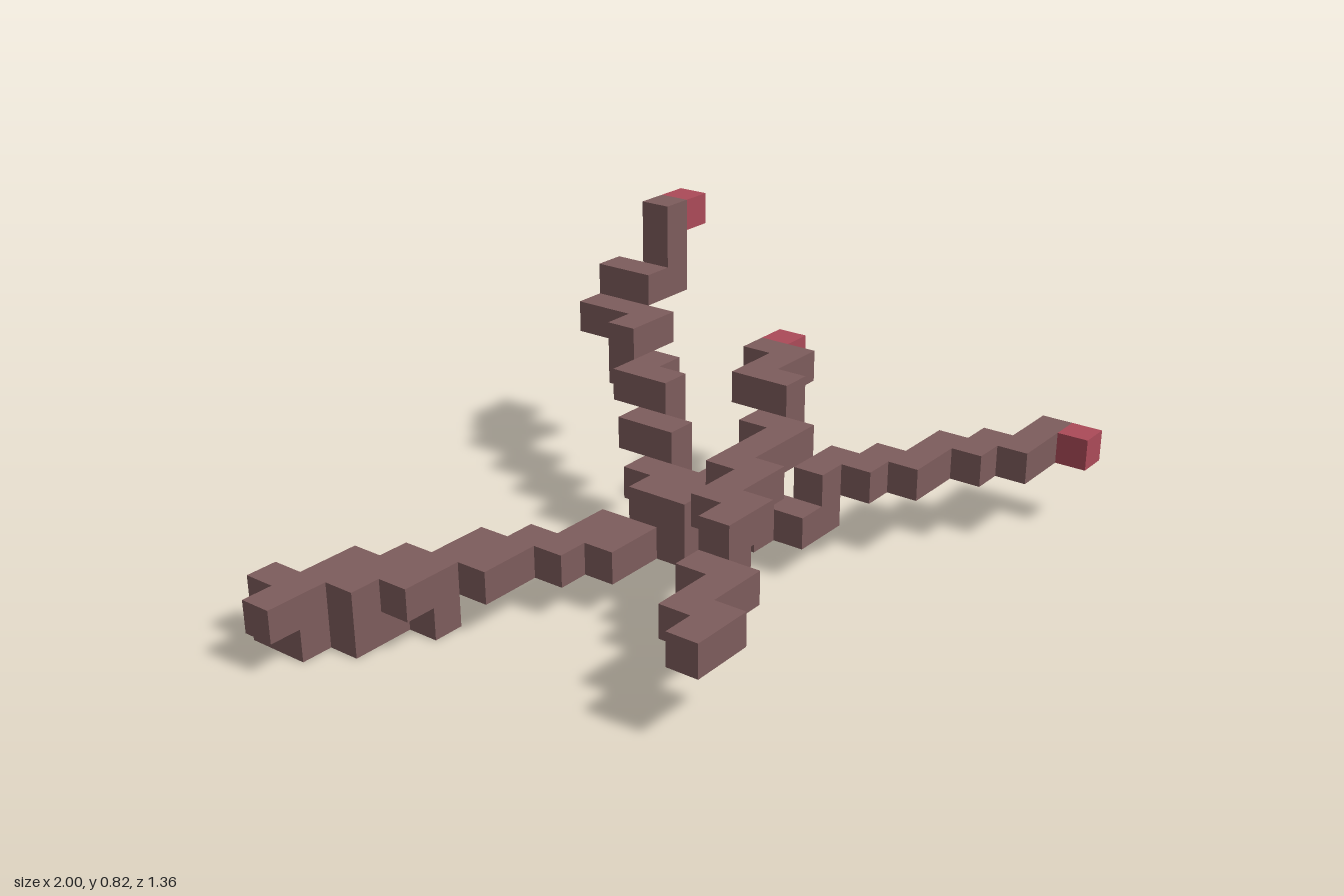
import * as THREE from 'three';
import { mergeGeometries } from 'three/addons/utils/BufferGeometryUtils.js';

// Block grid: 22 wide (x), 9 high (y), 15 deep (z)
const NX = 22, NZ = 15, S = 2 / NX;

// One row of blocks along x, from column i0 to i1 at level j and depth row k
function row([j, k, i0, i1 = i0]) {
  const g = new THREE.BoxGeometry((i1 - i0 + 1) * S, S, S);
  g.translate(((i0 + i1 + 1) / 2 - NX / 2) * S, (j + 0.5) * S, (k + 0.5 - NZ / 2) * S);
  return g;
}

// Each part is a list of rows: [level, depth row, first column, last column]
const wood = {
  trunk: [
    [1, 0, 1], [1, 1, 0, 3], [1, 2, 2, 4], [1, 3, 3, 6], [1, 4, 5, 7], [1, 5, 7, 9],
    [1, 6, 8, 11], [1, 7, 10, 12], [1, 8, 12, 13], [1, 9, 13, 14],
  ],
  trunkFoot: [[0, 0, 1], [0, 1, 1, 2], [0, 2, 2, 3], [0, 3, 4]],
  frontLeftBranch: [
    [2, 9, 14, 15], [2, 10, 15, 16], [2, 11, 16, 18], [2, 12, 18, 19], [2, 13, 19, 21],
  ],
  centreLink: [[2, 7, 10, 12], [2, 8, 12]],
  frontRightBranch: [
    [2, 12, 4, 5], [2, 11, 5, 7], [2, 10, 7, 8], [3, 10, 8, 9], [3, 9, 9, 11], [3, 8, 11, 14],
  ],
  middleLeftBranch: [[3, 7, 14, 15], [4, 7, 15], [4, 6, 15, 17], [4, 5, 17]],
  backLeftBranch: [
    [2, 6, 10, 11], [2, 5, 11, 12], [3, 5, 12], [3, 4, 12, 13], [4, 4, 13], [4, 3, 13, 14],
    [4, 2, 14], [5, 2, 14, 15], [5, 1, 15], [5, 0, 15, 16], [6, 0, 16], [6, 1, 16, 17],
    [7, 1, 17], [8, 1, 17],
  ],
};

// Red blocks at the branch ends
const tips = {
  frontLeftTip: [[2, 14, 21]],
  middleLeftTip: [[4, 5, 18]],
  backLeftTip: [[8, 1, 18]],
};

export function createModel() {
  const model = new THREE.Group();
  model.name = 'fallenBranch';
  const bark = new THREE.MeshStandardMaterial({ color: 0x7d5c5c });
  bark.name = 'brown bark';
  const red = new THREE.MeshStandardMaterial({ color: 0xab4a58 });
  red.name = 'red tip';

  for (const [parts, material] of [[wood, bark], [tips, red]]) {
    for (const [name, rows] of Object.entries(parts)) {
      const mesh = new THREE.Mesh(mergeGeometries(rows.map(row)), material);
      mesh.name = name;
      model.add(mesh);
    }
  }
  return model;
}
